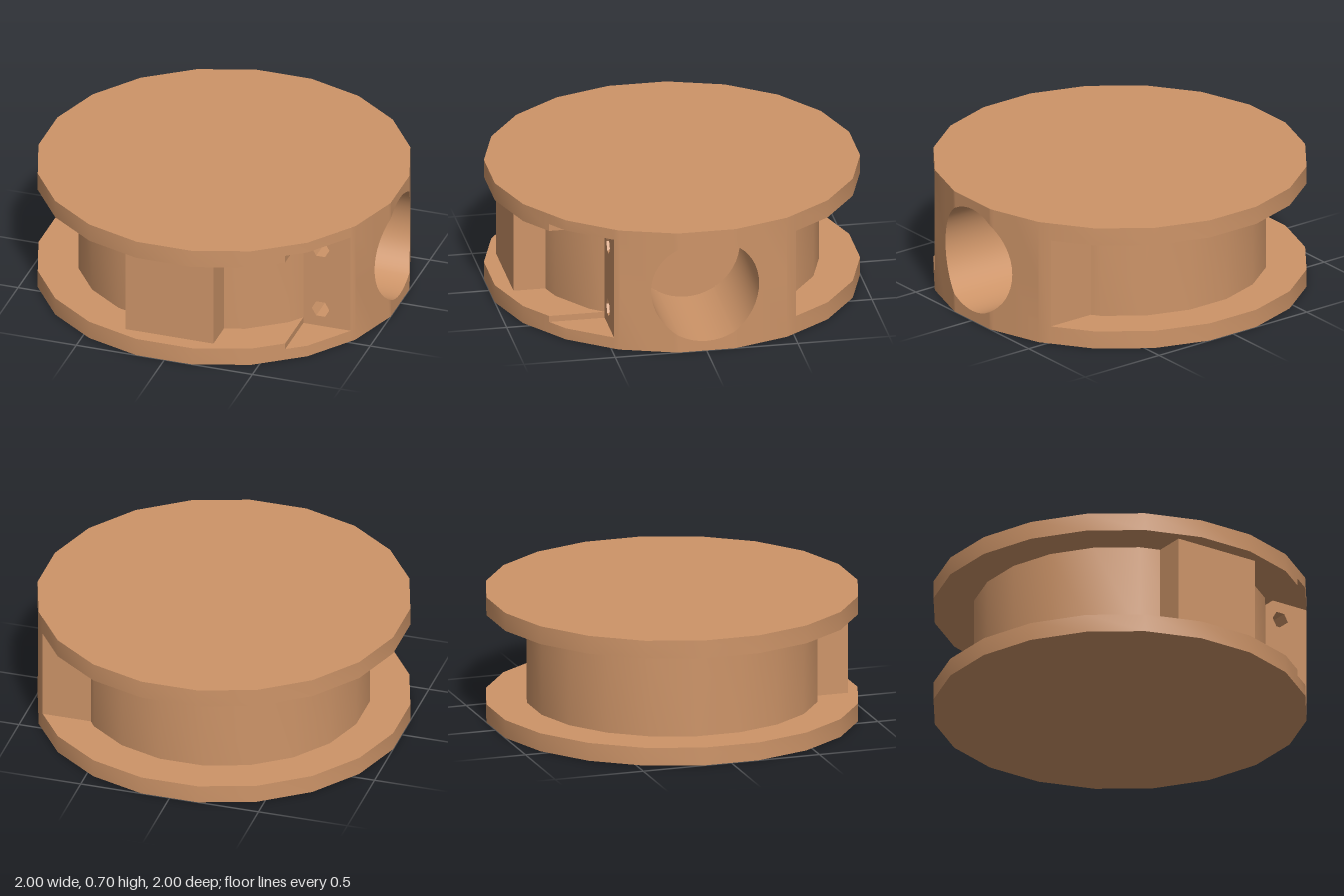
import * as THREE from 'three';
import { toCreasedNormals } from 'three/addons/utils/BufferGeometryUtils.js';

const H = 0.7, LOW = 0.1, HIGH = 0.6;          // total height and groove limits
const CUT_LOW = 0.065, CUT_HIGH = 0.64;        // recess limits
const BORE_R = 0.296, BORE_Y = 0.352, BORE_END = 0.4;

const material = new THREE.MeshStandardMaterial({ color: 0xcd9468, side: THREE.DoubleSide });

// Points [x, z] of a 20-sided disc
const disc = (apothem) => Array.from({ length: 20 }, (_, k) => {
  const a = (9 + 18 * k) * Math.PI / 180, r = apothem / Math.cos(Math.PI / 20);
  return [r * Math.cos(a), r * Math.sin(a)];
});

// Geometry from four-cornered faces, smooth except at sharp edges
function fromQuads(quads) {
  const pos = quads.flatMap(([a, b, c, d]) => [...a, ...b, ...c, ...a, ...c, ...d]);
  const g = new THREE.BufferGeometry();
  g.setAttribute('position', new THREE.Float32BufferAttribute(pos, 3));
  return toCreasedNormals(g, Math.PI / 6);
}

// Upright faces along a path of [x, z] points
function ribbon(path, y0, y1) {
  return path.slice(1).map((q, i) => {
    const p = path[i];
    return [[p[0], y0, p[1]], [p[0], y1, p[1]], [q[0], y1, q[1]], [q[0], y0, q[1]]];
  });
}

// Level face bounded by [x, z] points
function level(points, y, up) {
  const s = up ? -1 : 1;
  const shape = new THREE.Shape(points.map(([x, z]) => new THREE.Vector2(x, s * z)));
  return new THREE.ShapeGeometry(shape).rotateX(s * Math.PI / 2).translate(0, y, 0);
}

export function createModel() {
  const group = new THREE.Group();
  const add = (name, geometry) => {
    const mesh = new THREE.Mesh(geometry, material);
    mesh.name = name;
    group.add(mesh);
    return mesh;
  };

  const P = disc(1), K = disc(0.782);
  const A = [0.884, 0.485], B = [0.615, 0.789], C = [0.615, 0.485]; // recess corners
  const D = [0.862, -0.515], E = [0.591, -0.515];                   // rear end of side block
  const open = [B, ...P.slice(3, 18), D];                           // rim along the groove

  // Top and bottom faces
  add('topFace', level(P, H, true));
  add('bottomFace', level(P, 0, false));

  // Outer wall: flange rims and the full-height side block
  const wall = [
    ...ribbon([A, P[2], B], 0, CUT_LOW), ...ribbon([A, P[2], B], CUT_HIGH, H),
    ...ribbon(open, 0, LOW), ...ribbon(open, HIGH, H),
    ...ribbon([D, P[18]], 0, H), ...ribbon([P[1], A], 0, H),
  ];

  // Wall columns around the round bore, and the bore itself
  const [x0, z0] = P[0], [x1, z1] = P[1];
  const faceX = (z) => Math.abs(z) <= z0 ? x0 : x0 + (x1 - x0) * (Math.abs(z) - z0) / (z1 - z0);
  const half = (z) => Math.sqrt(Math.max(0, BORE_R ** 2 - z * z));
  const zs = [-z1, -z0, z0, z1];
  for (let i = 0; i <= 24; i++) zs.push(-BORE_R * Math.cos(i * Math.PI / 24));
  zs.sort((a, b) => a - b);
  const bore = [];
  for (let i = 0; i + 1 < zs.length; i++) {
    const a = zs[i], b = zs[i + 1], xa = faceX(a), xb = faceX(b);
    const ta = BORE_Y + half(a), tb = BORE_Y + half(b);
    const ba = BORE_Y - half(a), bb = BORE_Y - half(b);
    wall.push([[xa, ta, a], [xa, H, a], [xb, H, b], [xb, tb, b]]);
    wall.push([[xa, 0, a], [xa, ba, a], [xb, bb, b], [xb, 0, b]]);
    if (half(a) + half(b) < 1e-6) continue;
    bore.push([[xa, ta, a], [xb, tb, b], [BORE_END, tb, b], [BORE_END, ta, a]]);
    bore.push([[BORE_END, ba, a], [BORE_END, bb, b], [xb, bb, b], [xa, ba, a]]);
  }
  add('outerWall', fromQuads(wall));
  add('bore', fromQuads(bore));
  add('boreEnd', new THREE.CircleGeometry(BORE_R, 48).rotateY(Math.PI / 2))
    .position.set(BORE_END, BORE_Y, 0);

  // Groove: inner flange faces, core, rear end of the block
  const flange = [...open, E, [0, 0], C];
  add('lowerFlange', level(flange, LOW, true));
  add('upperFlange', level(flange, HIGH, false));
  add('core', fromQuads(ribbon([C, ...K.slice(2, 18), E], LOW, HIGH)));
  add('blockRearFace', fromQuads(ribbon([E, D], LOW, HIGH)));

  // Flat block on the front of the core
  add('frontBlock', new THREE.BoxGeometry(0.5, HIGH - LOW, 0.315))
    .position.set(0, (LOW + HIGH) / 2, 0.7575);

  // Recess cut into the flanges in front of the side block
  add('recessFloor', level([C, A, P[2], B], CUT_LOW, true));
  add('recessCeiling', level([C, A, P[2], B], CUT_HIGH, false));
  add('recessSides', fromQuads([
    ...ribbon([C, B], CUT_LOW, LOW), ...ribbon([C, B], HIGH, CUT_HIGH)]));

  // Recess back face with two hexagonal sockets
  const face = new THREE.Shape([
    [C[0], CUT_LOW], [A[0], CUT_LOW], [A[0], CUT_HIGH], [C[0], CUT_HIGH],
  ].map(([x, y]) => new THREE.Vector2(x, y)));
  const hexR = 0.05, hexX = 0.713, depth = 0.15;
  for (const y of [0.168, 0.536]) {
    const corners = Array.from({ length: 6 }, (_, i) => new THREE.Vector2(
      hexX + hexR * Math.cos(i * Math.PI / 3), y + hexR * Math.sin(i * Math.PI / 3)));
    face.holes.push(new THREE.Path(corners));
    const sides = corners.map((p, i) => {
      const q = corners[(i + 1) % 6], f = A[1], r = A[1] - depth;
      return [[p.x, p.y, f], [q.x, q.y, f], [q.x, q.y, r], [p.x, p.y, r]];
    });
    add('hexSocket', fromQuads(sides));
    add('hexSocketEnd', new THREE.CircleGeometry(hexR, 6)).position.set(hexX, y, A[1] - depth);
  }
  add('recessBack', new THREE.ShapeGeometry(face).translate(0, 0, A[1]));

  return group;
}
